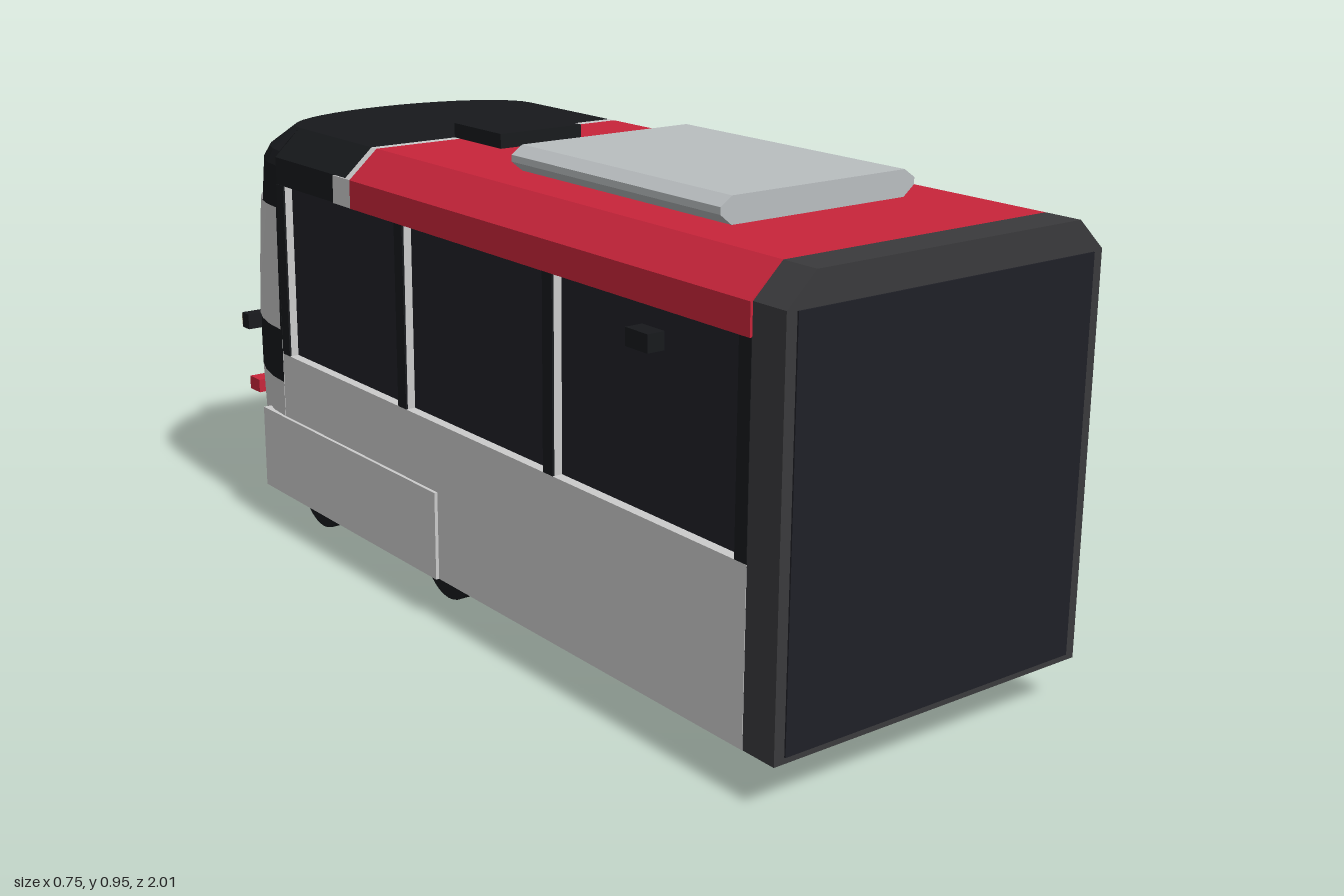
import * as THREE from 'three';

const mat = (color, extra = {}) => new THREE.MeshStandardMaterial({ color, ...extra });
const flat = { flatShading: true, side: THREE.DoubleSide };
const M = {
  white: mat(0xcccccc), red: mat(0xc8243a), black: mat(0x17191c), glass: mat(0x1f2027),
  frame: mat(0x3a3a3c), under: mat(0x333335), unit: mat(0xb9bec0), door: mat(0x35281b),
  doorTop: mat(0x201b16), sign: mat(0x2b2c20), lamp: mat(0xd8d0b4),
  cabWhite: mat(0xcccccc, flat), cabRed: mat(0xc8243a, flat), cabBlack: mat(0x17191c, flat),
};

// Cab front: half-ellipse cross-sections [height, half width, nose length]
const CAB_Z = -0.62, SEG = 20;
const RINGS = [
  [0.09, 0.36, 0.315], [0.22, 0.362, 0.352], [0.35, 0.362, 0.376], [0.42, 0.362, 0.378],
  [0.60, 0.361, 0.345], [0.74, 0.36, 0.312], [0.83, 0.36, 0.28], [0.86, 0.35, 0.24], [0.905, 0.30, 0.15],
];

function ringAt(y) {
  const k = Math.max(1, RINGS.findIndex(r => r[0] >= y - 1e-6));
  const a = RINGS[k - 1], b = RINGS[k], f = (y - a[0]) / (b[0] - a[0]);
  return [1, 2].map(i => a[i] + (b[i] - a[i]) * f);
}

// Patch of the cab surface between two angles (in segments) and two heights
function cabPatch(s0, s1, y0, y1, offset = 0) {
  const rows = [y0, ...RINGS.map(r => r[0]).filter(y => y > y0 + 0.001 && y < y1 - 0.001), y1];
  const cols = Math.ceil(s1 - s0), pos = [], idx = [];
  rows.forEach((y, j) => {
    const [w, b] = ringAt(y);
    for (let i = 0; i <= cols; i++) {
      const t = (s0 + (s1 - s0) * i / cols) * Math.PI / SEG;
      pos.push((w + offset) * Math.cos(t), y, CAB_Z - (b + offset) * Math.sin(t));
      if (j && i) {
        const d = j * (cols + 1) + i, c = d - 1, q = d - cols - 1, p = q - 1;
        idx.push(p, q, d, p, d, c);
      }
    }
  });
  const g = new THREE.BufferGeometry();
  g.setAttribute('position', new THREE.Float32BufferAttribute(pos, 3));
  g.setIndex(idx);
  g.computeVertexNormals();
  return g;
}

// Symmetric outline of right-hand points, extruded from z0 to z1
function prism(points, z0, z1) {
  const left = points.map(([x, y]) => [-x, y]).reverse();
  const shape = new THREE.Shape([...points, ...left].map(p => new THREE.Vector2(...p)));
  return new THREE.ExtrudeGeometry(shape, { depth: z1 - z0, bevelEnabled: false }).translate(0, 0, z0);
}

export function createModel() {
  const model = new THREE.Group();
  const add = (name, geometry, material) => {
    const mesh = new THREE.Mesh(geometry, material);
    mesh.name = name;
    model.add(mesh);
    return mesh;
  };
  // Box given by its limits along each axis
  const box = (name, [x0, x1], [y0, y1], [z0, z1], material) =>
    add(name, new THREE.BoxGeometry(x1 - x0, y1 - y0, z1 - z0)
      .translate((x0 + x1) / 2, (y0 + y1) / 2, (z0 + z1) / 2), material);
  const side = (s, a, b) => s > 0 ? [a, b] : [-b, -a];

  // Body core and coupling end
  box('bodyCore', [-0.325, 0.325], [0.09, 0.8], [-0.62, 0.93], M.under);
  add('endFrame', prism([[0.36, 0.09], [0.36, 0.848], [0.30, 0.905]], 0.92, 0.997), M.frame);
  box('endPanel', [-0.338, 0.338], [0.102, 0.845], [0.99, 1], M.glass);

  // Roof
  const roof = w => [[w, 0.79], [w, 0.848], [0.30, 0.905]];
  add('redRoof', prism(roof(0.365), -0.30, 0.92), M.red);
  add('roofStripe', prism(roof(0.364), -0.32, -0.30), M.white);
  add('cabRoof', prism(roof(0.36), CAB_Z, -0.32), M.black);
  const uy = [[0.2, 0.905], [0.225, 0.925], [0.225, 0.938], [0.2, 0.955]];
  add('roofUnit', prism(uy, 0.07, 0.68), M.unit);
  box('roofHatch', [-0.1, 0.1], [0.9, 0.935], [-0.32, -0.15], M.black);

  // Side walls; the door is on the left side only
  for (const s of [1, -1]) {
    const walls = s > 0 ? [[0.74, 0.92], [CAB_Z, 0.37]] : [[CAB_Z, 0.92]];
    const posts = s > 0
      ? [[0.89, 0.92], [0.74, 0.79], [0.34, 0.37], [-0.14, -0.11], [-0.62, -0.59]]
      : [[0.89, 0.92], [0.36, 0.39], [-0.14, -0.11], [-0.62, -0.59]];
    for (const z of walls) {
      box('lowerWall', side(s, 0.32, 0.361), [0.09, 0.415], z, M.white);
      box('windowGlass', side(s, 0.32, 0.34), [0.415, 0.79], z, M.glass);
    }
    for (const z of posts) {
      box('windowPost', side(s, 0.335, 0.357), [0.415, 0.79], z, M.white);
      box('postCover', side(s, 0.357, 0.361), [0.415, 0.79], z, M.black);
    }
    box('roofStripeEnd', side(s, 0.34, 0.364), [0.79, 0.848], [-0.37, -0.32], M.white);
    box('wheelPanel', side(s, 0.345, 0.368), [0.09, 0.272], [-0.71, 0], M.white);
    box('sideCamera', side(s, 0.32, 0.376), [0.712, 0.745], [0.62, 0.68], M.black);

    // Headlamps
    box('headlampHousing', side(s, 0.18, 0.29), [0.393, 0.428], [-0.95, -0.92], M.black);
    box('headlamp', side(s, 0.19, 0.288), [0.398, 0.424], [-0.957, -0.949], M.lamp);

    // Wheels
    for (const z of [-0.09, -0.61])
      add('wheel', new THREE.CylinderGeometry(0.09, 0.09, 0.028, 32)
        .rotateZ(Math.PI / 2).translate(s * 0.269, 0.09, z), M.black);
  }

  // Door
  box('doorPanel', [0.32, 0.335], [0.1, 0.7], [0.42, 0.70], M.door);
  box('doorHeader', [0.32, 0.337], [0.7, 0.79], [0.42, 0.70], M.doorTop);
  for (const z of [[0.70, 0.74], [0.37, 0.42]])
    box('doorJamb', [0.32, 0.355], [0.09, 0.79], z, M.glass);
  box('doorSill', [0.32, 0.36], [0.09, 0.1], [0.37, 0.74], M.frame);

  // Cab shell
  add('cabSkirtLeft', cabPatch(0, 7, 0.09, 0.35), M.cabWhite);
  add('cabSkirtCentre', cabPatch(7, 13, 0.09, 0.35), M.cabRed);
  add('cabSkirtRight', cabPatch(13, 20, 0.09, 0.35), M.cabWhite);
  add('cabUpper', cabPatch(0, 20, 0.35, 0.905), M.cabBlack);
  add('cabWindowLeft', cabPatch(0, 3.9, 0.47, 0.74, 0.004), M.cabWhite);
  add('cabWindowRight', cabPatch(16.1, 20, 0.47, 0.74, 0.004), M.cabWhite);
  const halfDisc = (w, b, y) => new THREE.CircleGeometry(1, SEG, 0, Math.PI)
    .scale(w, b, 1).rotateX(-Math.PI / 2).translate(0, y, CAB_Z);
  add('cabTop', halfDisc(0.30, 0.15, 0.905), M.cabBlack);
  add('cabFloor', halfDisc(0.355, 0.33, 0.16), M.cabBlack);

  // Nose details
  box('destinationSign', [-0.16, 0.16], [0.775, 0.825], [-0.906, -0.84], M.sign);
  add('noseLamp', new THREE.SphereGeometry(0.018, 16, 12).translate(0, 0.435, -0.992), M.white);
  box('noseHatch', [-0.03, 0.03], [0.365, 0.39], [-1, -0.98], M.glass);
  box('tailLamp', [-0.29, -0.245], [0.25, 0.28], [-0.925, -0.88], M.red);

  // Underframe
  box('underframe', [-0.215, 0.215], [0.05, 0.095], [-0.02, 0.88], M.under);
  box('bogieFrame', [-0.215, 0.215], [0.052, 0.095], [-0.68, -0.02], M.under);
  box('bogieCover', [-0.25, 0.25], [0.065, 0.12], [-0.71, 0.88], M.frame);
  return model;
}
